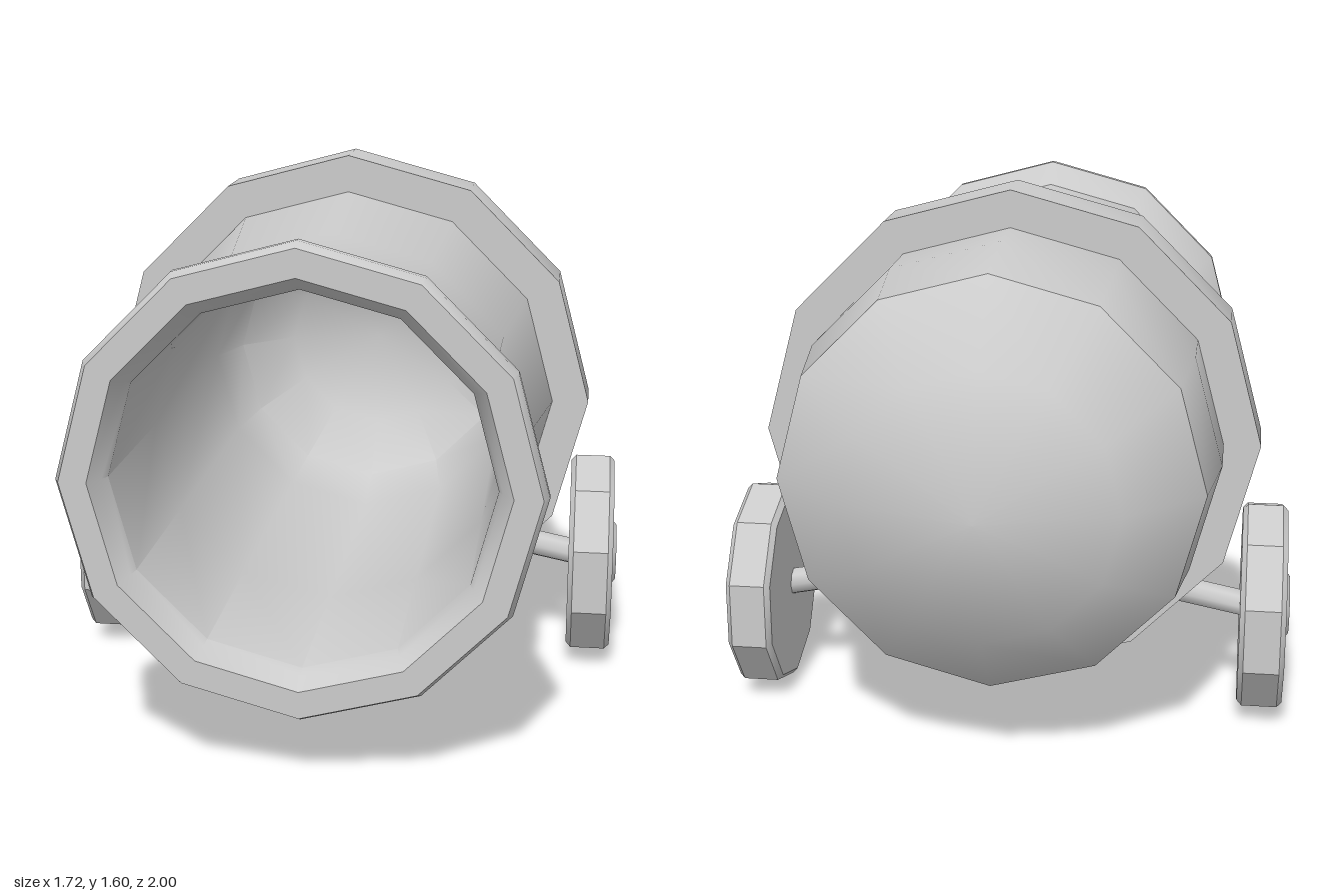
import * as THREE from 'three';
import { toCreasedNormals } from 'three/addons/utils/BufferGeometryUtils.js';

const material = new THREE.MeshStandardMaterial({ color: 0xcccccc });

// Turned part from [radius, height] pairs; edges sharper than 34 degrees stay crisp
function turned(profile, sides, start = 0) {
  const points = profile.map(([r, h]) => new THREE.Vector2(r, h));
  return toCreasedNormals(new THREE.LatheGeometry(points, sides, start), 0.6);
}

function addMesh(parent, name, geometry) {
  const mesh = new THREE.Mesh(geometry, material);
  mesh.name = name;
  parent.add(mesh);
  return mesh;
}

// Wheel, hub and slanted axle on the +x side
function createWheelUnit() {
  const unit = new THREE.Group();
  const wheelY = 0.322;

  // Bevelled disc with a shallow recess on its outer face
  const wheel = turned([
    [0, 0.707], [0.305, 0.707], [0.322, 0.722], [0.322, 0.828], [0.307, 0.843],
    [0.28, 0.843], [0.272, 0.825], [0, 0.825],
  ], 10, Math.PI / 2).rotateZ(-Math.PI / 2);
  addMesh(unit, 'wheel', wheel).position.y = wheelY;

  const hub = turned([
    [0.108, 0.82], [0.108, 0.845], [0.09, 0.858], [0, 0.858],
  ], 10, Math.PI / 2).rotateZ(-Math.PI / 2);
  addMesh(unit, 'hub', hub).position.y = wheelY;

  // Axle rises from the wheel into the barrel wall
  const from = new THREE.Vector3(0.715, 0.32, 0);
  const to = new THREE.Vector3(0.41, 0.38, 0);
  const direction = to.clone().sub(from);
  const axle = addMesh(unit, 'axle',
    toCreasedNormals(new THREE.CylinderGeometry(0.042, 0.042, direction.length(), 8), 0.9));
  axle.position.copy(from).lerp(to, 0.5);
  axle.quaternion.setFromUnitVectors(new THREE.Vector3(0, 1, 0), direction.normalize());
  return unit;
}

export function createModel() {
  const model = new THREE.Group();
  model.name = 'cannon';
  const axisY = 0.85;

  // Outer wall from rear dome to muzzle lip, then the bore back inside
  const barrel = turned([
    [0, -1], [0.387, -0.883], [0.605, -0.685], [0.641, -0.42], [0.641, -0.03],
    [0.58, 0.37], [0.578, 0.65], [0.587, 0.885],
    [0.657, 0.945], [0.657, 0.97], [0.642, 1],
    [0.565, 1], [0.535, 0.955], [0.523, 0.93],
    [0.52, 0.4], [0.515, -0.5], [0.46, -0.68], [0.3, -0.83], [0, -0.9],
  ], 12).rotateX(Math.PI / 2);
  addMesh(model, 'barrel', barrel).position.y = axisY;

  // Raised band around the barrel
  const band = turned([
    [0.6, -0.217], [0.752, -0.217], [0.752, -0.035], [0.6, -0.035],
  ], 12).rotateX(Math.PI / 2);
  addMesh(model, 'band', band).position.y = axisY;

  // Wheels on both sides
  for (const [name, turn] of [['leftWheel', 0], ['rightWheel', Math.PI]]) {
    const unit = createWheelUnit();
    unit.name = name;
    unit.position.z = -0.152;
    unit.rotation.y = turn;
    model.add(unit);
  }
  return model;
}
